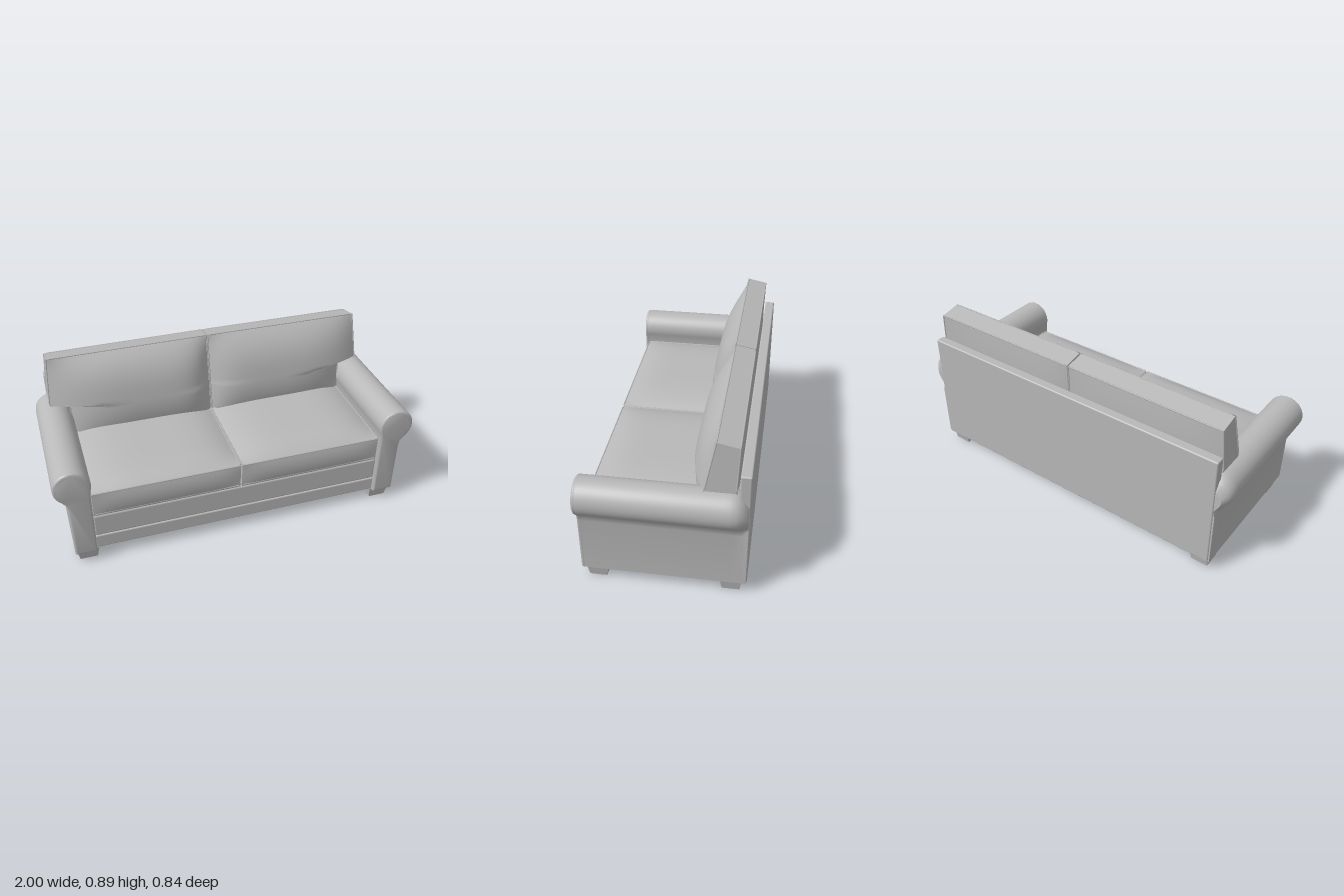
import * as THREE from 'three';
import { toCreasedNormals } from 'three/addons/utils/BufferGeometryUtils.js';
import { RoundedBoxGeometry } from 'three/addons/geometries/RoundedBoxGeometry.js';

const fabric = new THREE.MeshStandardMaterial({ color: 0xb8b8b8 });
fabric.name = 'grey fabric';

const mix = THREE.MathUtils.lerp;
const clamp = THREE.MathUtils.clamp;

function add(group, name, geometry, x = 0, y = 0, z = 0) {
  const mesh = new THREE.Mesh(geometry, fabric);
  mesh.name = name;
  mesh.position.set(x, y, z);
  group.add(mesh);
}

// Move every vertex by a rule, then rebuild normals with sharp edges kept
function reshape(geometry, rule, crease = 0.75) {
  const p = geometry.attributes.position;
  const v = new THREE.Vector3();
  for (let i = 0; i < p.count; i++) {
    v.fromBufferAttribute(p, i);
    rule(v);
    p.setXYZ(i, v.x, v.y, v.z);
  }
  return toCreasedNormals(geometry, crease);
}

// Thin welt cord along straight runs between points
function piping(group, name, points, closed = true) {
  const path = new THREE.CurvePath();
  const pts = points.map(p => new THREE.Vector3(...p));
  const last = closed ? pts.length : pts.length - 1;
  for (let i = 0; i < last; i++) path.add(new THREE.LineCurve3(pts[i], pts[(i + 1) % pts.length]));
  add(group, name, new THREE.TubeGeometry(path, 120, 0.004, 6, false));
}

// Upright panel with a rolled top; s is +1 for left, -1 for right
function armShape(s, inset = 0) {
  const shape = new THREE.Shape();
  const pts = [[0.812 + inset, 0.067 + inset], [0.812 + inset, 0.44]];
  const r = 0.098 - inset;
  for (let i = 0; i <= 28; i++) {
    const a = mix(Math.PI * 1.12, -Math.PI * 0.3, i / 28);
    pts.push([0.9 + r * Math.cos(a), 0.516 + r * Math.sin(a)]);
  }
  pts.push([0.938 - inset, 0.415], [0.932 - inset, 0.38], [0.93 - inset, 0.067 + inset]);
  shape.setFromPoints(pts.map(([x, y]) => new THREE.Vector2(s * x, y)));
  return shape;
}

function arm(s) {
  const group = new THREE.Group();
  group.name = s > 0 ? 'leftArm' : 'rightArm';
  // Body, with the roll tapering in at the back
  const body = new THREE.ExtrudeGeometry(armShape(s), { depth: 0.812, steps: 28, bevelEnabled: false });
  add(group, 'armBody', reshape(body, v => {
    v.z -= 0.412;
    const t = clamp((-0.32 - v.z) / 0.092, 0, 1);
    const k = 1 - 0.42 * t * t * t;
    if (v.y > 0.4) {
      v.y = 0.46 + (v.y - 0.46) * (v.y > 0.46 ? k : 1);
      if (s * v.x > 0.9) v.x = s * (0.9 + (s * v.x - 0.9) * k);
    }
  }));
  // Softly padded front facing
  add(group, 'armFront', toCreasedNormals(new THREE.ExtrudeGeometry(armShape(s, 0.012), {
    depth: 0.006, bevelEnabled: true, bevelThickness: 0.012, bevelSize: 0.012, bevelSegments: 4,
  }), 0.6), 0, 0, 0.4);
  return group;
}

function seatCushion(s) {
  const group = new THREE.Group();
  group.name = s > 0 ? 'leftSeatCushion' : 'rightSeatCushion';
  const w = 0.804, x0 = 0.004, zf = 0.392, zb = -0.33, yb = 0.292, yt = 0.436;
  add(group, 'seatPad', reshape(new THREE.BoxGeometry(2, 2, 2, 20, 6, 20), v => {
    const { x: a, y: b, z: c } = v;
    const crown = (1 - Math.pow(Math.abs(a), 4)) * (1 - Math.pow(Math.abs(c), 6));
    const puff = 0.01 * (1 - b * b);
    v.x = s * (x0 + w / 2) + a * (w / 2);
    v.y = b > 0 ? mix((yb + yt) / 2, yt + 0.05 * crown, b) : mix((yb + yt) / 2, yb, -b);
    v.z = mix(zb, zf, (c + 1) / 2) + (c > 0 ? c * puff * (1 - a ** 6) : 0);
  }));
  for (const [name, y] of [['topPiping', yt], ['bottomPiping', yb + 0.01]]) {
    piping(group, name, [[s * x0, y, zb], [s * x0, y, zf], [s * (x0 + w), y, zf], [s * (x0 + w), y, zb]], false);
  }
  return group;
}

function backCushion(s) {
  const group = new THREE.Group();
  group.name = s > 0 ? 'leftBackCushion' : 'rightBackCushion';
  const y0 = 0.45, y1 = 0.888, step = 0.625;
  const outer = y => (y < step ? 0.81 : mix(0.922, 0.903, (y - step) / (y1 - step)));
  const front = y => mix(-0.165, -0.25, (y - y0) / (y1 - y0));
  const back = y => mix(-0.342, -0.358, (y - y0) / (y1 - y0));
  // T-shaped pad that overhangs the arm and bulges forward
  add(group, 'backPad', reshape(new THREE.BoxGeometry(2, 1, 1, 24, 30, 4), v => {
    const a = s * v.x, c = v.z + 0.5;
    const y = mix(y0, y1, v.y + 0.5);
    const across = 1 - Math.pow(Math.abs(a), a > 0 ? 3 : 6);
    const h = clamp((y - step) / (y1 - step), 0, 1);
    const low = clamp((step - y) / (step - y0), 0, 1);
    const bulge = 0.083 * across * (1 - h ** 3) * (1 - 0.45 * low * low);
    const rear = 0.012 * across * Math.sin(Math.PI * clamp(v.y + 0.5, 0, 1));
    v.x = s * mix(0.004, outer(y), (a + 1) / 2);
    v.z = mix(back(y) - rear, front(y) + bulge, c);
    v.y = y + (y > step ? h * (mix(-0.022, 0, c) + 0.004 * (1 - a) / 2) : 0);
  }, 0.7));
  // Welts around the front and rear edges of the side band
  for (const [name, z, drop] of [['frontPiping', front, 0], ['rearPiping', back, 0.022]]) {
    const top = y1 - drop;
    piping(group, name, [
      [s * 0.004, y0, z(y0)], [s * 0.004, top + 0.003, z(y1)], [s * outer(y1), top, z(y1)],
      [s * outer(step), step, z(step)], [s * 0.81, step - 0.012, z(step)], [s * 0.81, y0, z(y0)],
    ]);
  }
  return group;
}

// Tapered block foot
function foot(group, x, z) {
  add(group, 'foot', reshape(new THREE.BoxGeometry(0.116, 0.07, 0.112), v => {
    if (v.y < 0) { v.x *= 0.82; v.z *= 0.8; }
  }), x, 0.035, z);
}

export function createModel() {
  const sofa = new THREE.Group();
  sofa.name = 'sofa';

  // Base and two-part front rail
  add(sofa, 'base', new THREE.BoxGeometry(1.64, 0.225, 0.75), 0, 0.1805, 0.005);
  add(sofa, 'lowerRail', new RoundedBoxGeometry(1.63, 0.083, 0.06, 3, 0.008), 0, 0.1085, 0.362);
  add(sofa, 'upperRail', new RoundedBoxGeometry(1.63, 0.138, 0.06, 3, 0.012), 0, 0.22, 0.362);

  // Flat back panel
  add(sofa, 'backPanel', new RoundedBoxGeometry(1.846, 0.66, 0.054, 3, 0.008), 0, 0.396, -0.391);

  for (const s of [1, -1]) {
    sofa.add(arm(s), seatCushion(s), backCushion(s));
    foot(sofa, s * 0.86, 0.338);
    foot(sofa, s * 0.86, -0.338);
  }
  return sofa;
}
